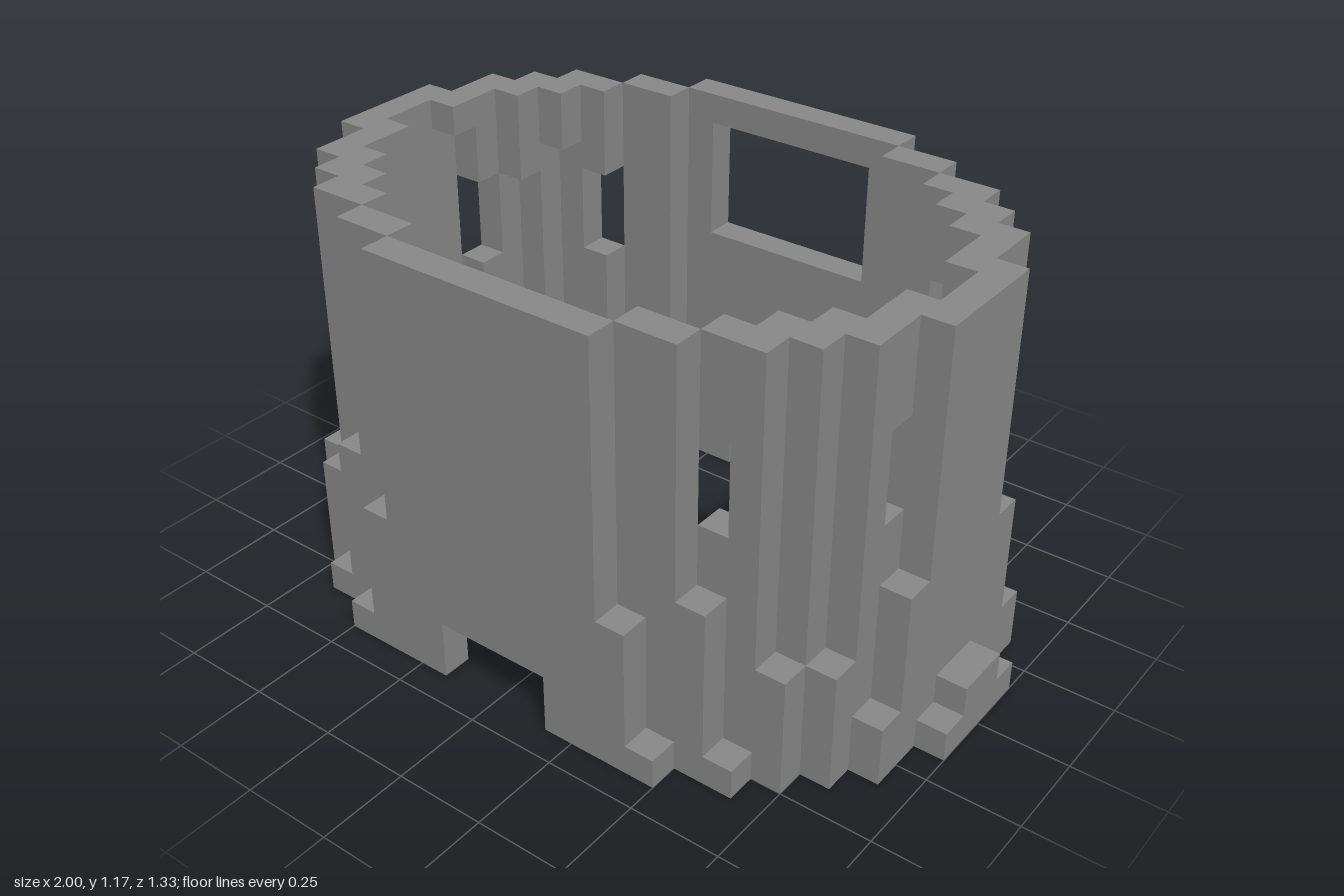
import * as THREE from 'three';

const U = 1 / 12;   // block size
const LEVELS = 14;

// Half-widths of the oval at each course: flared foot, nearly straight above
const FOOT_X = [12, 11.65, 11.5, 11.44, 11.2, 11.08];
const FOOT_Z = [8.5, 8.45, 8.36, 8.3, 8.2, 8.1];
const halfX = y => FOOT_X[y] ?? 11 - 0.04 * (y - 6);
const halfZ = y => FOOT_Z[y] ?? 8;

const inOval = (x, z, a, b) => (x * x) / (a * a) + (z * z) / (b * b) < 1;

// Block (i, y, k) covers i..i+1, y..y+1, k..k+1
function solid(i, y, k) {
  if (y < 0 || y >= LEVELS) return false;
  const x = i + 0.5, z = k + 0.5;
  const a = halfX(y), b = halfZ(y);
  if (!inOval(x, z, a, b) || inOval(x, z, a - 1, b - 1)) return false;
  const ax = Math.abs(x), az = Math.abs(z);
  // doorways at front and back
  if (y < 2 && ax < 2) return false;
  // slit windows in the front, back and sides
  if (y >= 8 && y < 11 && (ax === 6.5 || az === 2.5)) return false;
  // wide back window
  if (y >= 9 && y < 13 && ax < 3 && z < 0) return false;
  return true;
}

// Exposed block faces for the courses from y0 up to y1
function wallGeometry(y0, y1) {
  const pos = [], nor = [], idx = [];
  const addFace = (cell, axis, sign) => {
    const u = (axis + 1) % 3, v = (axis + 2) % 3;
    const start = pos.length / 3;
    for (const [s, t] of [[0, 0], [1, 0], [1, 1], [0, 1]]) {
      const p = [...cell];
      if (sign > 0) p[axis] += 1;
      p[u] += s;
      p[v] += t;
      pos.push(p[0] * U, p[1] * U, p[2] * U);
      const n = [0, 0, 0];
      n[axis] = sign;
      nor.push(...n);
    }
    const order = sign > 0 ? [0, 1, 2, 0, 2, 3] : [0, 2, 1, 0, 3, 2];
    idx.push(...order.map(o => start + o));
  };
  for (let y = y0; y < y1; y++)
    for (let i = -12; i < 12; i++)
      for (let k = -8; k < 8; k++) {
        if (!solid(i, y, k)) continue;
        for (let axis = 0; axis < 3; axis++)
          for (const sign of [-1, 1]) {
            const n = [i, y, k];
            n[axis] += sign;
            if (!solid(...n)) addFace([i, y, k], axis, sign);
          }
      }
  const g = new THREE.BufferGeometry();
  g.setAttribute('position', new THREE.Float32BufferAttribute(pos, 3));
  g.setAttribute('normal', new THREE.Float32BufferAttribute(nor, 3));
  g.setIndex(idx);
  return g;
}

export function createModel() {
  const group = new THREE.Group();
  group.name = 'ovalTowerWall';
  const stone = new THREE.MeshStandardMaterial({ color: 0x888888 });
  stone.name = 'grey stone';
  // flared foot with doorways, then the windowed wall above
  for (const [name, y0, y1] of [['flaredFoot', 0, 6], ['windowedWall', 6, LEVELS]]) {
    const mesh = new THREE.Mesh(wallGeometry(y0, y1), stone);
    mesh.name = name;
    group.add(mesh);
  }
  return group;
}
